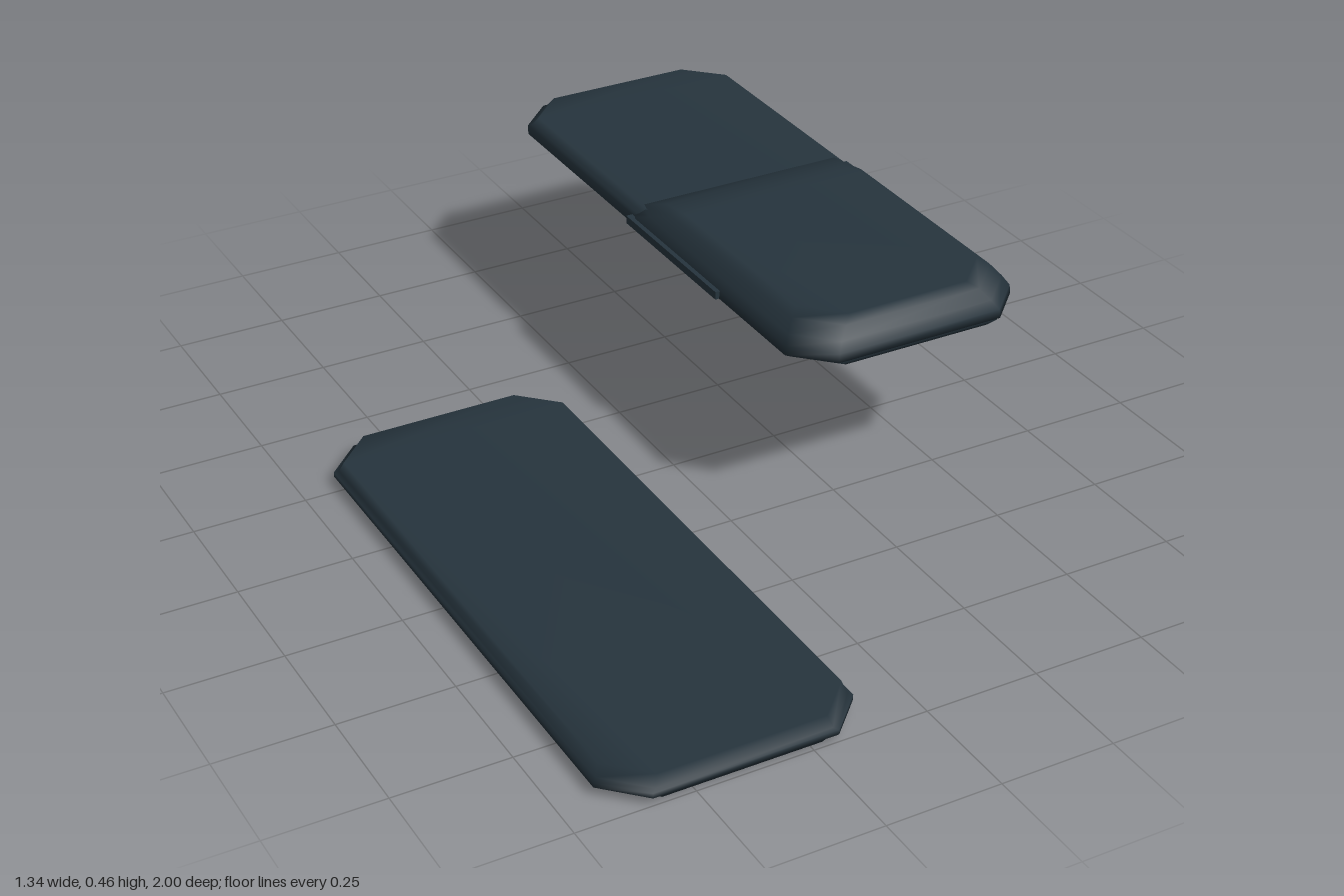
import * as THREE from 'three';

const slate = new THREE.MeshStandardMaterial({ color: 0x26343d });
slate.name = 'dark slate';

// Eight-sided outline: half width, back and front z, corner cuts [across, along] at each end
function outline({ y, w, back, front, backCut = [0.08, 0.08], frontCut = [0.08, 0.08] }) {
  const [bx, bz] = backCut, [fx, fz] = frontCut;
  return [
    [-w, y, back + bz], [-w + bx, y, back], [w - bx, y, back], [w, y, back + bz],
    [w, y, front - fz], [w - fx, y, front], [-w + fx, y, front], [-w, y, front - fz],
  ];
}

// Smooth closed solid through a stack of outlines, bottom to top
function loft(name, x, rings) {
  const n = 8, index = [], top = (rings.length - 1) * n;
  for (let r = 0; r < rings.length - 1; r++) {
    for (let i = 0; i < n; i++) {
      const a = r * n + i, b = r * n + (i + 1) % n;
      index.push(b, a, a + n, b, a + n, b + n);
    }
  }
  for (let i = 1; i < n - 1; i++) {
    index.push(0, i, i + 1, top, top + i + 1, top + i);
  }
  const geometry = new THREE.BufferGeometry();
  geometry.setAttribute('position', new THREE.Float32BufferAttribute(rings.flatMap(outline).flat(), 3));
  geometry.setIndex(index);
  geometry.computeVertexNormals();
  const mesh = new THREE.Mesh(geometry, slate);
  mesh.name = name;
  mesh.position.x = x;
  return mesh;
}

export function createModel() {
  const model = new THREE.Group();
  model.name = 'twoPanels';

  // Low flat panel with a thin lip around its middle
  model.add(loft('lowerPanel', -0.393, [
    { y: 0, w: 0.25, back: -0.345, front: 0.985 },
    { y: 0.012, w: 0.262, back: -0.35, front: 0.99 },
    { y: 0.017, w: 0.277, back: -0.362, front: 1 },
    { y: 0.028, w: 0.277, back: -0.362, front: 1 },
    { y: 0.032, w: 0.268, back: -0.355, front: 0.993 },
    { y: 0.056, w: 0.26, back: -0.345, front: 0.983 },
  ]));

  // High panel: base plate along its full length
  const upper = new THREE.Group();
  upper.name = 'upperPanel';
  upper.add(loft('basePlate', 0.385, [
    { y: 0.364, w: 0.252, back: -0.99, front: 0.34 },
    { y: 0.376, w: 0.27, back: -1, front: 0.35 },
    { y: 0.398, w: 0.27, back: -1, front: 0.35 },
    { y: 0.403, w: 0.263, back: -0.99, front: 0.343 },
    { y: 0.421, w: 0.252, back: -0.98, front: 0.325 },
  ]));

  // Raised front half with a ramp down to the plate
  upper.add(loft('raisedCover', 0.385, [
    { y: 0.38, w: 0.276, back: -0.4, front: 0.353, backCut: [0.01, 0.02] },
    { y: 0.4, w: 0.274, back: -0.4, front: 0.352, backCut: [0.012, 0.02] },
    { y: 0.419, w: 0.262, back: -0.395, front: 0.338, backCut: [0.015, 0.06] },
    { y: 0.443, w: 0.242, back: -0.33, front: 0.32, backCut: [0.02, 0.06] },
    { y: 0.456, w: 0.222, back: -0.28, front: 0.3, backCut: [0.02, 0.04] },
  ]));

  // Slim rails along both sides
  for (const side of [-1, 1]) {
    const rail = new THREE.Mesh(new THREE.BoxGeometry(0.016, 0.018, 0.4), slate);
    rail.name = side > 0 ? 'leftRail' : 'rightRail';
    rail.position.set(0.385 + side * 0.277, 0.389, -0.2);
    upper.add(rail);
  }
  model.add(upper);
  return model;
}
